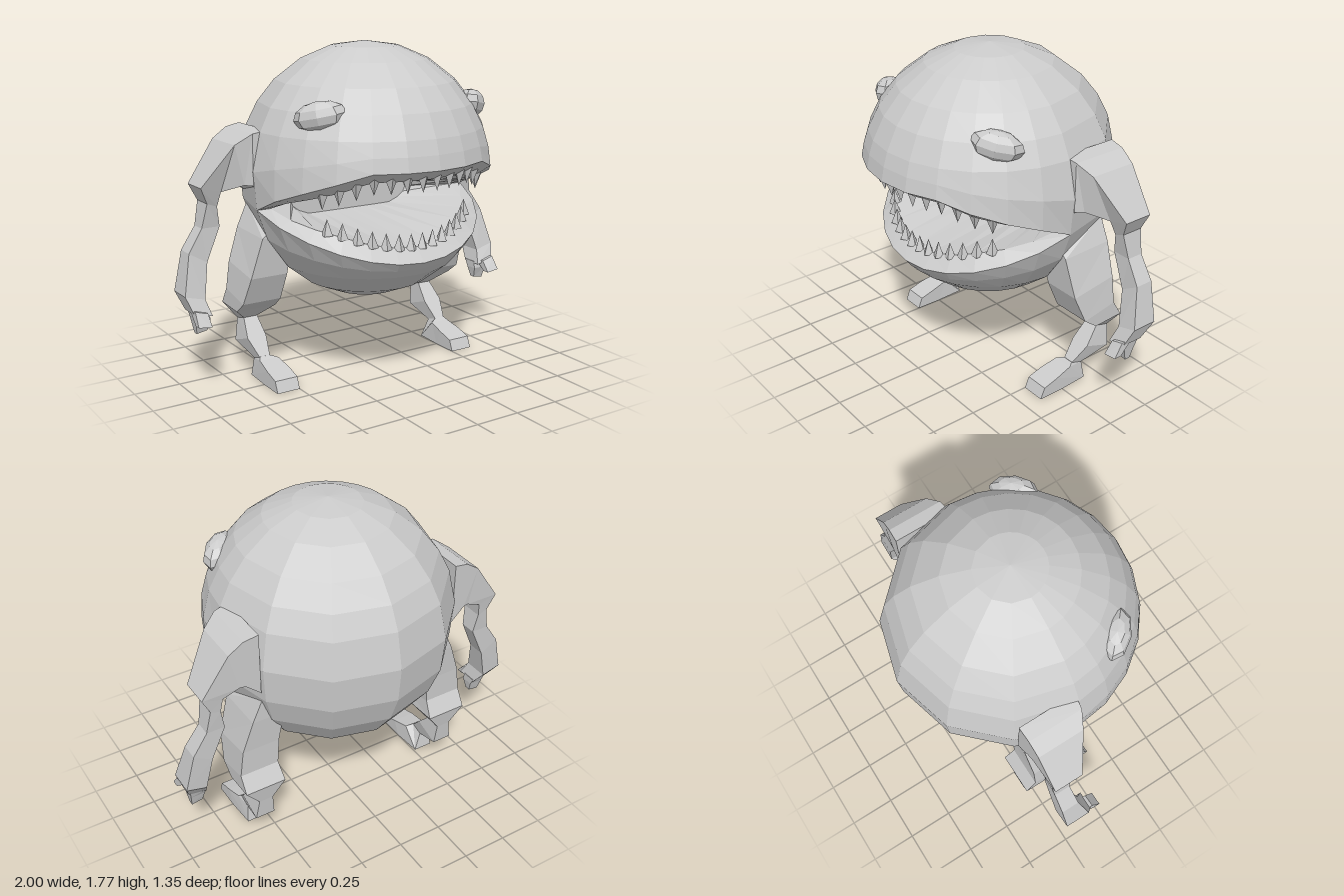
import * as THREE from 'three';

const material = new THREE.MeshStandardMaterial({ color: 0xcccccc, flatShading: true });
const V = (x, y, z) => new THREE.Vector3(x, y, z);

function mesh(name, geometry) {
  const m = new THREE.Mesh(geometry, material);
  m.name = name;
  return m;
}

// Unshared triangles, so every facet is flat; empty ones at the poles are dropped
function facets(tris) {
  const kept = tris.filter(([a, b, c]) =>
    b.clone().sub(a).cross(c.clone().sub(a)).length() > 1e-7);
  const g = new THREE.BufferGeometry().setFromPoints(kept.flat());
  g.computeVertexNormals();
  return g;
}

// Surface through columns of points
function skin(columns) {
  const tris = [];
  for (let i = 0; i + 1 < columns.length; i++) {
    const p = columns[i], q = columns[i + 1];
    for (let r = 0; r + 1 < p.length; r++) {
      tris.push([p[r], q[r], p[r + 1]], [q[r], q[r + 1], p[r + 1]]);
    }
  }
  return facets(tris);
}

// Closed four-sided limb through cross-sections of four corners
function limb(rings) {
  const tris = [];
  const quad = (a, b, c, d) => tris.push([a, b, c], [a, c, d]);
  for (let i = 0; i + 1 < rings.length; i++) {
    for (let k = 0; k < 4; k++) {
      const n = (k + 1) % 4;
      quad(rings[i][k], rings[i][n], rings[i + 1][n], rings[i + 1][k]);
    }
  }
  const end = rings[rings.length - 1];
  quad(...[...rings[0]].reverse());
  quad(...end);
  // Turn the faces outward whichever way the limb is mirrored
  const volume = tris.reduce((v, [a, b, c]) => v + a.dot(b.clone().cross(c)), 0);
  return facets(volume < 0 ? tris.map(([a, b, c]) => [a, c, b]) : tris);
}

// Sections given as outer x, y, inner x, y, front z, back z
const armRings = (s, list) => list.map(([xo, yo, xi, yi, zf, zb]) =>
  [V(s * xo, yo, zf), V(s * xi, yi, zf), V(s * xi, yi, zb), V(s * xo, yo, zb)]);
// Sections given as front z, y, back z, y, inner x, outer x
const legRings = (s, list) => list.map(([zf, yf, zb, yb, xi, xo]) =>
  [V(s * xo, yf, zf), V(s * xi, yf, zf), V(s * xi, yb, zb), V(s * xo, yb, zb)]);

// Round body: angle 0 is the left side, 90 degrees the front
const TOP = 1.775, LOW = 0.42, CORNER = 0.945;
const rad = THREE.MathUtils.degToRad;
function onBody(deg, y) {
  const r = 0.68 * Math.sqrt(Math.max(0, 1 - ((y - 1.0975) / 0.6775) ** 2));
  return V(0.98 * r * Math.cos(rad(deg)), y, r * Math.sin(rad(deg)));
}
const sideways = deg => Math.min(deg, 180 - deg);
const upperLip = deg => onBody(deg, CORNER + 0.245 * Math.min(1, sideways(deg) / 60) ** 0.85);
const lowerLip = deg => onBody(deg, CORNER - 0.245 * Math.sin(rad(deg)));
function gum(deg, upper) {
  const p = upper ? upperLip(deg) : lowerLip(deg);
  const lift = Math.min(1, Math.sin(rad(deg)) * 1.5);
  return V(p.x * 0.88, p.y + (upper ? -0.055 : 0.07) * lift, p.z * 0.88);
}
const throat = (deg, upper) => V(0.37 * Math.cos(rad(deg)),
  0.93 + (upper ? 0.07 : -0.08) * Math.min(1, Math.sin(rad(deg)) * 1.4), -0.15);

const range = (from, to, step) =>
  Array.from({ length: Math.round((to - from) / step) + 1 }, (_, i) => from + i * step);

export function createModel() {
  const model = new THREE.Group();
  const crown = [TOP, 1.75, 1.685, 1.575, 1.46, 1.34];
  const belly = [0.62, 0.51, 0.445, LOW];
  const front = range(0, 180, 15);

  // Body shell: whole at the back, split into two jaws at the front
  model.add(mesh('bodyBack', skin(range(180, 360, 30).map(d =>
    [...crown, 1.1425, CORNER, 0.7825, ...belly].map(y => onBody(d, y))))));
  model.add(mesh('upperJaw', skin(front.map(d => {
    const lip = upperLip(d);
    return [...crown.map(y => onBody(d, y)), onBody(d, (1.34 + lip.y) / 2), lip];
  }))));
  model.add(mesh('lowerJaw', skin(front.map(d => {
    const lip = lowerLip(d);
    return [lip, onBody(d, (0.62 + lip.y) / 2), ...belly.map(y => onBody(d, y))];
  }))));

  // Mouth lining: lip, gum, throat wall, gum, lip
  model.add(mesh('mouthLining', skin(front.map(d =>
    [upperLip(d), gum(d, true), throat(d, true), throat(d, false), gum(d, false), lowerLip(d)]))));

  // Teeth in two arcs
  for (const upper of [true, false]) {
    const row = new THREE.Group();
    row.name = upper ? 'upperTeeth' : 'lowerTeeth';
    for (const d of range(36, 144, 8.3077)) {
      const tooth = mesh('tooth', new THREE.ConeGeometry(0.032, 0.085, 4));
      tooth.position.copy(gum(d, upper));
      tooth.position.y += upper ? -0.02 : 0.03;
      tooth.rotation.set(upper ? Math.PI : 0, rad(upper ? d : -d), 0);
      row.add(tooth);
    }
    model.add(row);
  }

  for (const s of [1, -1]) {
    const side = s > 0 ? 'left' : 'right';

    // Eye
    const eye = mesh(side + 'Eye', new THREE.SphereGeometry(1, 8, 6));
    eye.scale.set(0.135, 0.075, 0.075);
    eye.position.set(s * 0.46, 1.447, 0.315);
    eye.rotation.set(0, s * rad(43), s * -0.2, 'YXZ');
    model.add(eye);

    // Arm with two fingers
    const arm = new THREE.Group();
    arm.name = side + 'Arm';
    arm.add(mesh('arm', limb(armRings(s, [
      [0.58, 1.35, 0.58, 1.0, 0, -0.32],
      [0.66, 1.335, 0.66, 1.07, -0.01, -0.315],
      [0.74, 1.28, 0.69, 1.07, -0.05, -0.31],
      [0.89, 1.06, 0.78, 1.03, -0.14, -0.3],
      [0.845, 0.97, 0.79, 0.95, -0.17, -0.29],
      [0.87, 0.84, 0.77, 0.84, -0.19, -0.28],
      [0.95, 0.72, 0.85, 0.66, -0.18, -0.28],
      [1.0, 0.51, 0.89, 0.48, -0.13, -0.27],
      [0.97, 0.42, 0.87, 0.4, -0.09, -0.21]]))));
    arm.add(mesh('frontFinger', limb(armRings(s, [
      [0.97, 0.44, 0.9, 0.42, -0.08, -0.15],
      [0.975, 0.37, 0.9, 0.36, -0.03, -0.07]]))));
    arm.add(mesh('backFinger', limb(armRings(s, [
      [0.96, 0.43, 0.87, 0.41, -0.13, -0.21],
      [0.95, 0.37, 0.87, 0.37, -0.12, -0.19],
      [0.94, 0.3, 0.88, 0.31, -0.14, -0.17]]))));
    model.add(arm);

    // Leg with a bent knee
    const leg = new THREE.Group();
    leg.name = side + 'Leg';
    leg.add(mesh('leg', limb(legRings(s, [
      [0, 0.84, -0.29, 0.93, 0.42, 0.56],
      [0, 0.79, -0.29, 0.8, 0.44, 0.62],
      [-0.02, 0.58, -0.28, 0.62, 0.47, 0.68],
      [-0.08, 0.43, -0.28, 0.47, 0.48, 0.7],
      [-0.16, 0.37, -0.335, 0.38, 0.47, 0.7],
      [-0.24, 0.3, -0.32, 0.28, 0.54, 0.62],
      [-0.16, 0.21, -0.31, 0.16, 0.53, 0.64],
      [-0.08, 0.12, -0.15, 0.1, 0.55, 0.61]]))));
    leg.add(mesh('foot', limb(legRings(s, [
      [-0.08, 0.125, -0.15, 0.1, 0.55, 0.61],
      [-0.06, 0.11, -0.165, 0, 0.51, 0.62],
      [0.04, 0.085, 0, 0, 0.5, 0.63],
      [0.125, 0.06, 0.15, 0, 0.5, 0.63]]))));
    model.add(leg);
  }
  return model;
}
